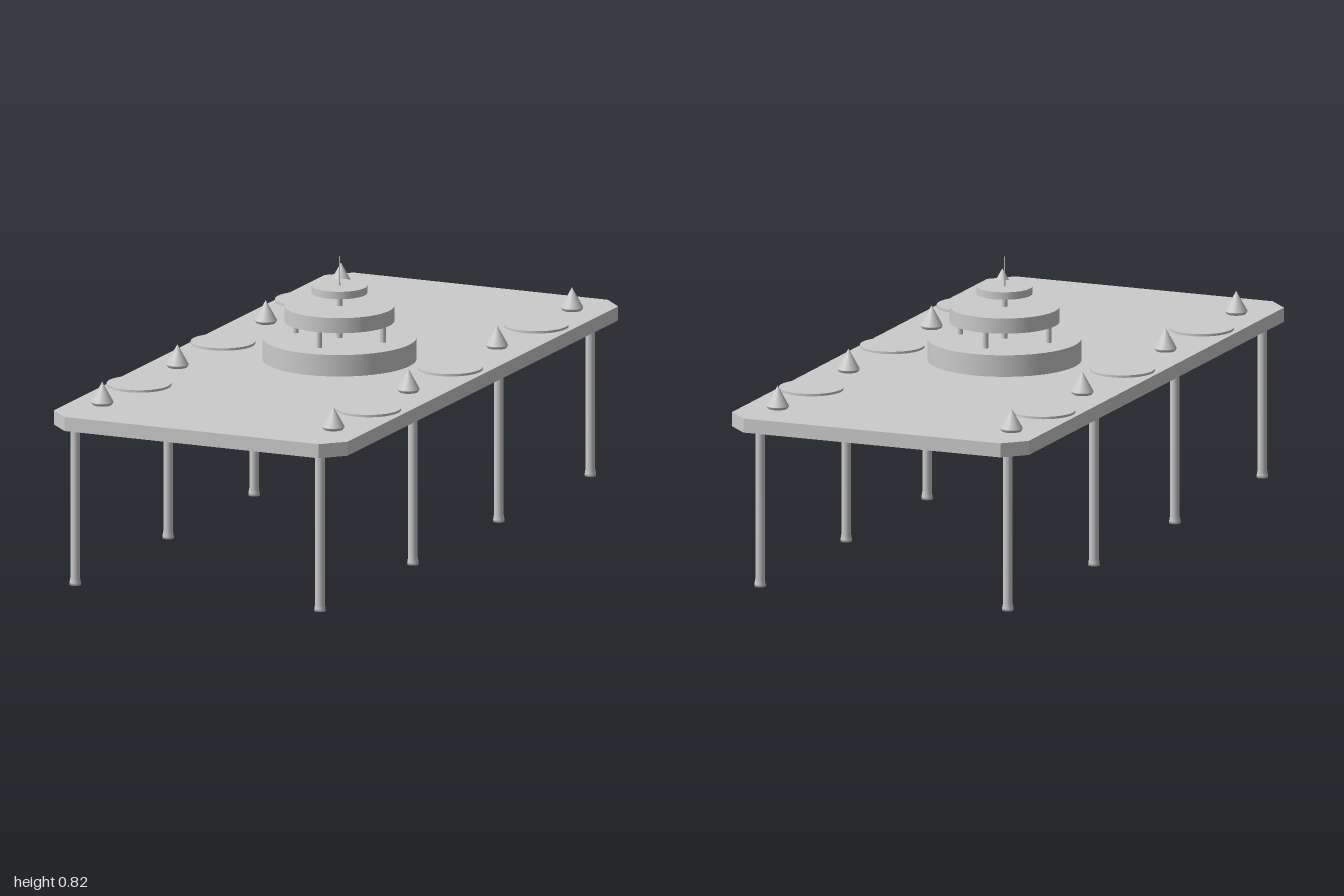
import * as THREE from 'three';

export function createModel() {
  const group = new THREE.Group();
  const grey = new THREE.MeshStandardMaterial({ color: 0xcccccc });

  const add = (name, geometry, x = 0, y = 0, z = 0) => {
    const mesh = new THREE.Mesh(geometry, grey);
    mesh.name = name;
    mesh.position.set(x, y, z);
    group.add(mesh);
    return mesh;
  };
  // Upright cylinder between two heights
  const post = (name, r, y0, y1, x, z, sides = 24, rTop = r) =>
    add(name, new THREE.CylinderGeometry(rTop, r, y1 - y0, sides), x, (y0 + y1) / 2, z);

  // Table slab with cut corners
  const w = 0.47, d = 1, c = 0.063;
  const outline = new THREE.Shape([
    [-w + c, -d], [w - c, -d], [w, -d + c], [w, d - c],
    [w - c, d], [-w + c, d], [-w, d - c], [-w, -d + c],
  ].map(([x, y]) => new THREE.Vector2(x, y)));
  const slab = new THREE.ExtrudeGeometry(outline, { depth: 0.042, bevelEnabled: false });
  slab.rotateX(-Math.PI / 2);
  add('tableTop', slab, 0, 0.471, 0);

  // Legs with slightly flared feet
  const legProfile = [[0, 0], [0.017, 0], [0.0165, 0.008], [0.014, 0.022], [0.014, 0.48]]
    .map(([r, y]) => new THREE.Vector2(r, y));
  const leg = new THREE.LatheGeometry(legProfile, 20);
  for (const x of [-0.4, 0.384])
    for (const z of [-0.93, -0.297, 0.297, 0.94]) add('leg', leg, x, 0, z);

  // Small cones with a tucked-in base
  const coneProfile = [[0.026, 0.51], [0.0325, 0.52], [0.0325, 0.522], [0, 0.581]]
    .map(([r, y]) => new THREE.Vector2(r, y));
  const cone = new THREE.LatheGeometry(coneProfile, 24);
  for (const x of [-0.373, 0.367])
    for (const z of [-0.84, -0.32, 0.291, 0.811]) add('cone', cone, x, 0, z);

  // Plates, each on a low foot ring
  for (const [x, z] of [[-0.369, -0.598], [-0.369, -0.015], [-0.369, 0.566],
    [0.367, -0.593], [0.367, 0.001], [0.367, 0.566]]) {
    post('plateFoot', 0.07, 0.511, 0.519, x, z, 40);
    post('plate', 0.094, 0.518, 0.525, x, z, 48);
  }

  // Three-tier centrepiece
  const cx = 0.011;
  post('lowerTier', 0.224, 0.511, 0.577, cx, 0, 64);
  post('middleTier', 0.16, 0.627, 0.672, cx, 0, 64);
  post('upperTier', 0.081, 0.71, 0.732, cx, 0, 48);

  // Pillars around the lower gap, and the central pole
  for (let i = 0; i < 4; i++) {
    const a = (i * Math.PI) / 2;
    post('pillar', 0.0085, 0.575, 0.63, cx + 0.14 * Math.cos(a), 0.14 * Math.sin(a), 16);
  }
  post('centralPole', 0.009, 0.575, 0.712, cx, 0, 16);

  // Thin finial
  post('finial', 0.0025, 0.73, 0.82, cx, 0, 10, 0.0015);

  return group;
}
